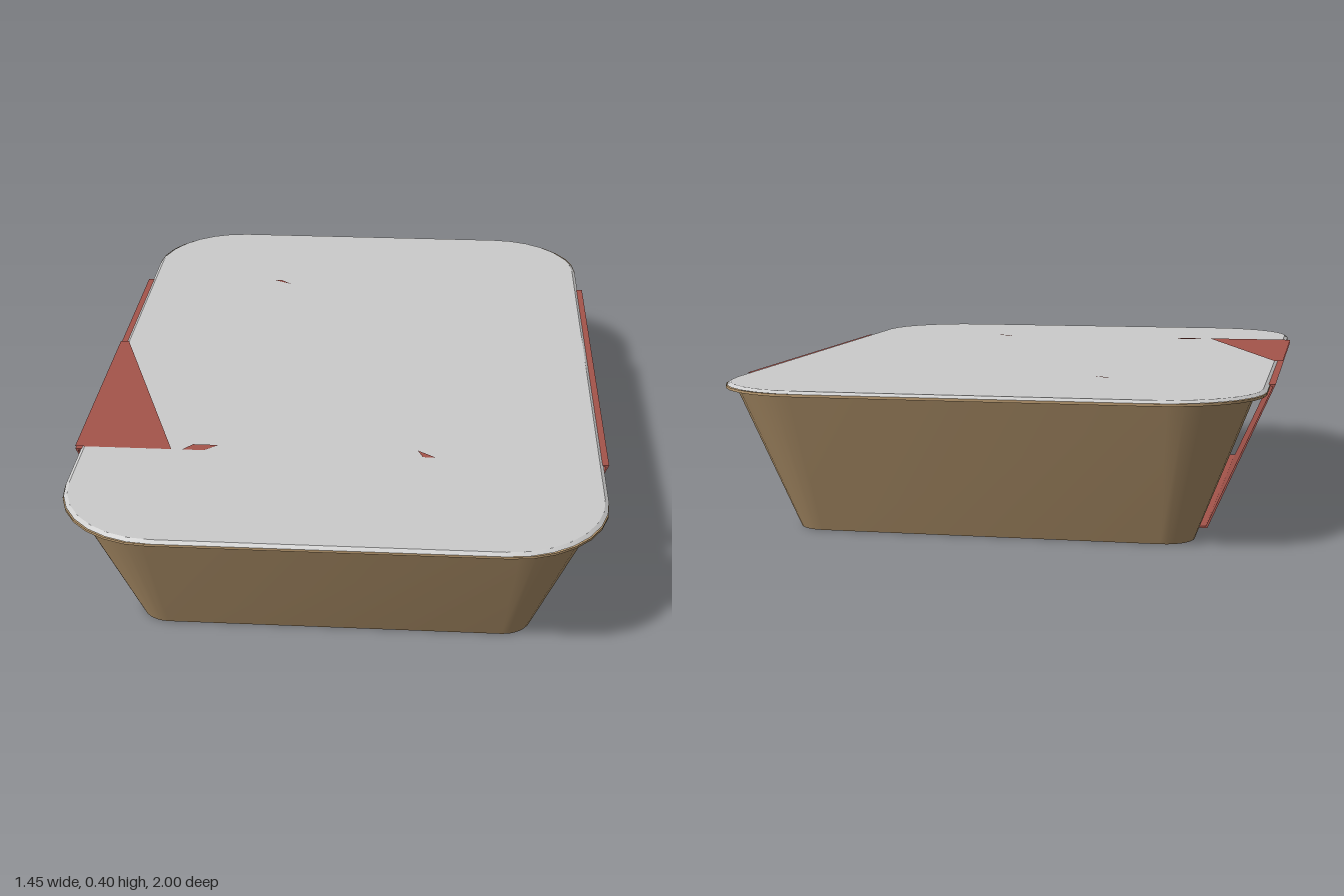
import * as THREE from 'three';
import { toCreasedNormals } from 'three/addons/utils/BufferGeometryUtils.js';

const CORNER_STEPS = 7;

// One rounded-rectangle ring, lying flat at height y
function ring([hx, hz, r, y]) {
  const pts = [];
  const signs = [[1, 1], [-1, 1], [-1, -1], [1, -1]];
  signs.forEach(([sx, sz], q) => {
    for (let k = 0; k <= CORNER_STEPS; k++) {
      const a = (q + k / CORNER_STEPS) * Math.PI / 2;
      pts.push([sx * (hx - r) + r * Math.cos(a), y, sz * (hz - r) + r * Math.sin(a)]);
    }
  });
  return pts;
}

// Skin a surface through a list of rings [halfX, halfZ, cornerRadius, y]
function loft(sections) {
  const rings = sections.map(ring);
  const n = rings[0].length;
  const index = [];
  for (let i = 0; i < rings.length - 1; i++) {
    for (let j = 0; j < n; j++) {
      const a = i * n + j, b = i * n + (j + 1) % n;
      index.push(a, a + n, b, b, a + n, b + n);
    }
  }
  const geo = new THREE.BufferGeometry();
  geo.setAttribute('position', new THREE.Float32BufferAttribute(rings.flat(2), 3));
  geo.setIndex(index);
  return toCreasedNormals(geo, 0.5);
}

export function createModel() {
  const model = new THREE.Group();
  model.name = 'foodTray';

  const material = (name, color, side = THREE.FrontSide) => {
    const m = new THREE.MeshStandardMaterial({ color, side });
    m.name = name;
    return m;
  };
  const brown = material('brownCard', 0xb5966d, THREE.DoubleSide);
  const grey = material('greyFilm', 0xcccccc, THREE.DoubleSide);
  const red = material('redSleeve', 0xa5544b, THREE.DoubleSide);

  const add = (name, geo, mat) => {
    const mesh = new THREE.Mesh(geo, mat);
    mesh.name = name;
    model.add(mesh);
    return mesh;
  };

  // Tray: recessed base, foot, flared walls, flange and lip
  add('tray', loft([
    [0, 0, 0, 0.02],
    [0.42, 0.64, 0.01, 0.02],
    [0.43, 0.65, 0.01, 0],
    [0.53, 0.79, 0.08, 0],
    [0.68, 0.95, 0.2, 0.381],
    [0.71, 1, 0.26, 0.383],
    [0.71, 1, 0.26, 0.39],
  ]), brown);

  // Sealing film stretched across the rim
  add('filmLid', loft([
    [0.71, 1, 0.27, 0.39],
    [0.7, 0.99, 0.26, 0.397],
    [0, 0, 0, 0.398],
  ]), grey);

  // Sleeve: thin tapered band, open at both ends
  const outline = (path, top, bottom, yTop, yBottom) => {
    path.moveTo(-bottom, yBottom);
    path.lineTo(bottom, yBottom);
    path.lineTo(top, yTop);
    path.lineTo(-top, yTop);
    path.closePath();
    return path;
  };
  const band = outline(new THREE.Shape(), 0.725, 0.553, 0.392, 0.003);
  band.holes.push(outline(new THREE.Path(), 0.718, 0.549, 0.387, 0.008));
  const sleeve = new THREE.ExtrudeGeometry(band, { depth: 1.14, bevelEnabled: false });
  sleeve.translate(0, 0, -0.59);
  add('sleeve', sleeve, red);

  // Places where the sleeve shows through the film, as [x, z] corners
  const patches = [
    [[-0.725, 0.55], [-0.46, 0.55], [-0.7, -0.1], [-0.725, -0.1]],
    [[-0.43, 0.55], [-0.37, 0.55], [-0.335, 0.52], [-0.405, 0.52]],
    [[0.225, 0.55], [0.26, 0.55], [0.21, 0.515]],
    [[-0.3, -0.59], [-0.275, -0.59], [-0.24, -0.56]],
  ];
  patches.forEach((corners, i) => {
    const shape = new THREE.Shape(corners.map(([x, z]) => new THREE.Vector2(x, -z)));
    const geo = new THREE.ShapeGeometry(shape);
    geo.rotateX(-Math.PI / 2);
    geo.translate(0, 0.4, 0);
    add('sleevePatch' + (i + 1), geo, red);
  });

  return model;
}
